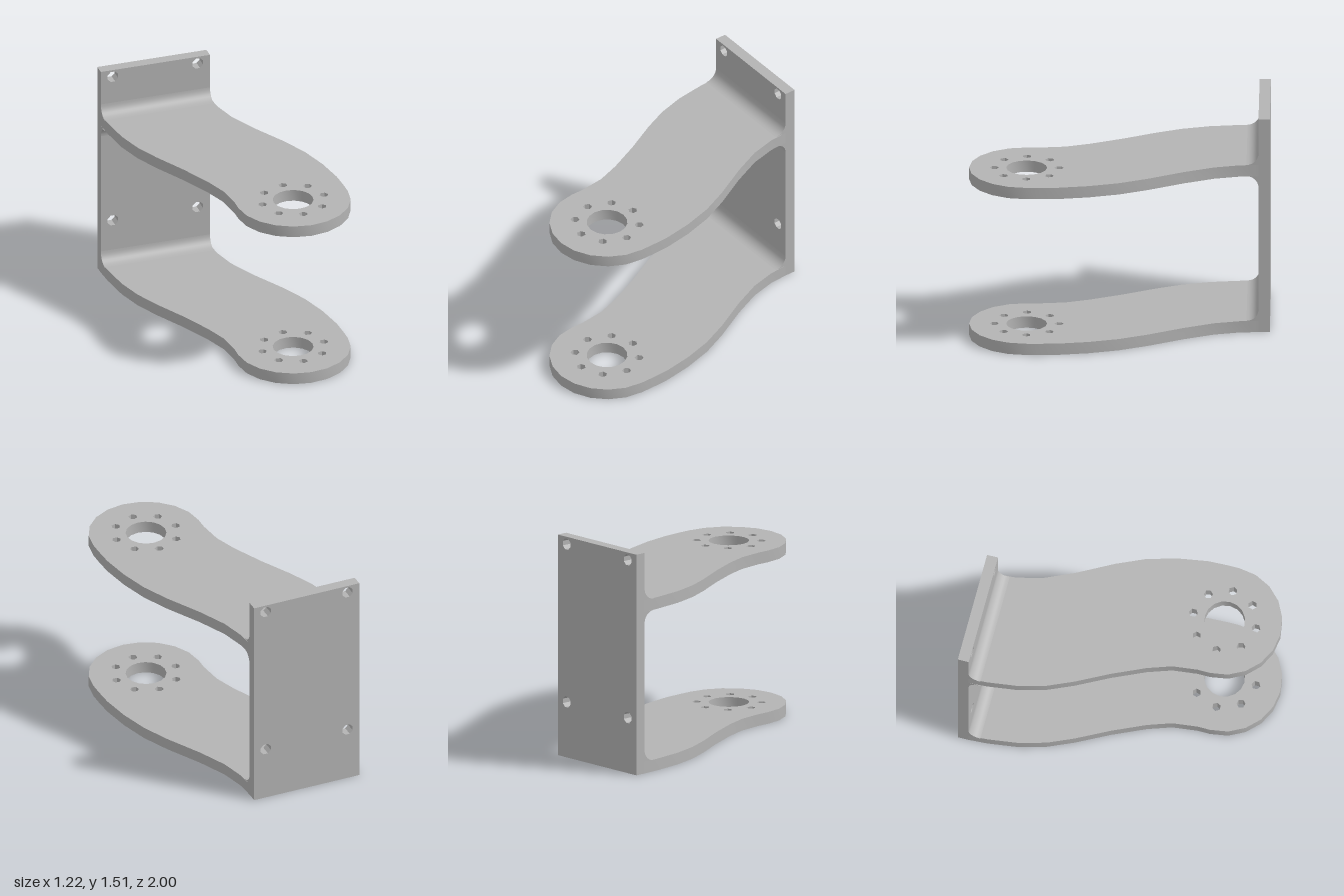
import * as THREE from 'three';
import { toCreasedNormals } from 'three/addons/utils/BufferGeometryUtils.js';

const LEFT = 0.155, RIGHT = -0.61;       // side edges of the back plate
const PLATE_FRONT = -0.925, HEIGHT = 1.51;
const ARM_THICKNESS = 0.08, FILLET = 0.08;
const HUB = { x: 0.222, z: 0.615, r: 0.383 };

// Points along an arc, angles in radians
function arc(cx, cy, r, from, to, steps) {
  return Array.from({ length: steps + 1 }, (_, i) => {
    const a = from + (to - from) * i / steps;
    return new THREE.Vector2(cx + r * Math.cos(a), cy + r * Math.sin(a));
  });
}

const hole = (cx, cy, r, sides, turn = 0) =>
  new THREE.Path(arc(cx, cy, r, turn, turn + Math.PI * 2, sides).slice(0, -1));

function extrude(shape, depth) {
  return new THREE.ExtrudeGeometry(shape, { depth, bevelEnabled: false });
}

// S-shaped arm with a rounded end and a ring of bolt holes, drawn in (x, -z)
function armGeometry() {
  const outer = [[0.155, -0.925], [0.163, -0.8], [0.205, -0.63], [0.295, -0.43], [0.425, -0.19],
    [0.51, 0], [0.567, 0.2], [0.6, 0.4], [0.605, 0.53]];
  const inner = [[-0.16, 0.53], [-0.18, 0.36], [-0.235, 0.2], [-0.335, -0.02], [-0.45, -0.24],
    [-0.525, -0.41], [-0.575, -0.59], [-0.603, -0.8], [-0.61, -0.925]];
  const flip = ([x, z]) => new THREE.Vector2(x, -z);
  const end = arc(HUB.x, -HUB.z, HUB.r, 0, -Math.PI, 10);
  const shape = new THREE.Shape([...outer.map(flip), ...end, ...inner.map(flip)]);

  shape.holes.push(hole(HUB.x, -HUB.z, 0.136, 16));
  for (let i = 0; i < 8; i++) {
    const a = i * Math.PI / 4;
    shape.holes.push(hole(HUB.x + 0.215 * Math.cos(a), -HUB.z + 0.215 * Math.sin(a), 0.03, 6, a));
  }
  return toCreasedNormals(extrude(shape, ARM_THICKNESS).rotateX(-Math.PI / 2), 0.6);
}

// Back plate with four mounting holes
function plateGeometry() {
  const shape = new THREE.Shape([
    new THREE.Vector2(RIGHT, 0), new THREE.Vector2(LEFT, 0),
    new THREE.Vector2(LEFT, HEIGHT), new THREE.Vector2(RIGHT, HEIGHT)]);
  for (const x of [-0.525, 0.07])
    for (const y of [0.38, 1.46]) shape.holes.push(hole(x, y, 0.04, 8, Math.PI / 8));
  return extrude(shape, 1 + PLATE_FRONT).translate(0, 0, -1);
}

// Concave fillet between plate and arm; dir is 1 above an arm, -1 below
function filletGeometry(dir) {
  const curve = arc(FILLET, FILLET, FILLET, -Math.PI / 2, -Math.PI, 8);
  const shape = new THREE.Shape([new THREE.Vector2(0, 0), ...curve]
    .map(p => new THREE.Vector2(p.x, p.y * dir)));
  const geometry = extrude(shape, LEFT - RIGHT).rotateY(-Math.PI / 2).translate(LEFT, 0, PLATE_FRONT);
  return toCreasedNormals(geometry, 0.6);
}

export function createModel() {
  const group = new THREE.Group();
  group.name = 'bracket';
  const metal = new THREE.MeshStandardMaterial({ color: 0xb3b3b3 });
  metal.name = 'grey metal';

  const add = (name, geometry, y = 0) => {
    const mesh = new THREE.Mesh(geometry, metal);
    mesh.name = name;
    mesh.position.y = y;
    group.add(mesh);
  };

  add('backPlate', plateGeometry());
  const arm = armGeometry();
  add('lowerArm', arm, 0);
  add('upperArm', arm, 1.106);
  add('lowerArmFillet', filletGeometry(1), ARM_THICKNESS);
  add('upperArmTopFillet', filletGeometry(1), 1.106 + ARM_THICKNESS);
  add('upperArmBottomFillet', filletGeometry(-1), 1.106);
  return group;
}
